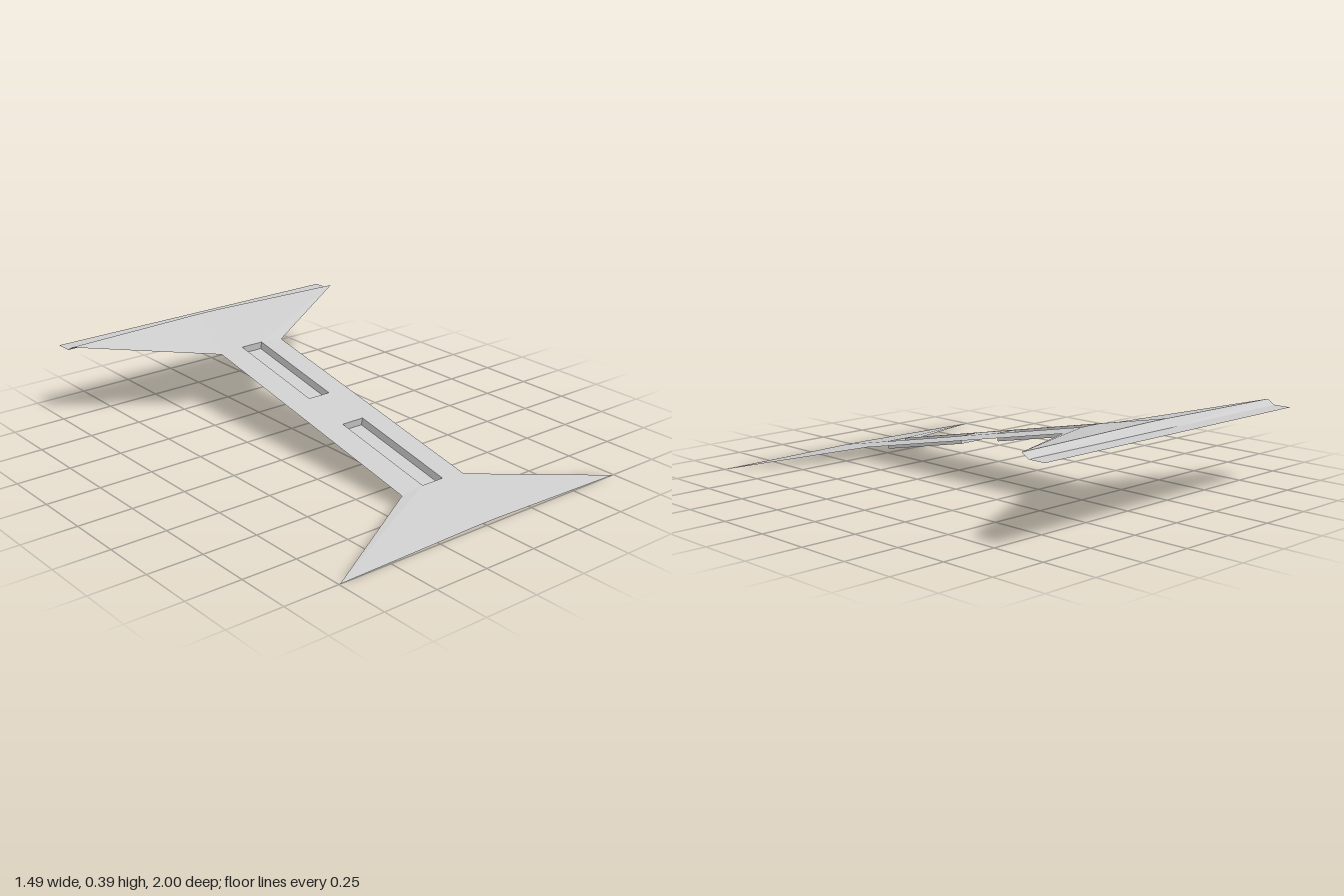
import * as THREE from 'three';

const grey = new THREE.MeshStandardMaterial({ color: 0xcccccc, side: THREE.DoubleSide });
grey.name = 'light grey';

// Mesh from quads, corners counterclockwise from the outside
function quadMesh(name, quads) {
  const pos = [];
  for (const [a, b, c, d] of quads) pos.push(...a, ...b, ...c, ...a, ...c, ...d);
  const g = new THREE.BufferGeometry();
  g.setAttribute('position', new THREE.Float32BufferAttribute(pos, 3));
  g.computeVertexNormals();
  const m = new THREE.Mesh(g, grey);
  m.name = name;
  return m;
}

const SLOT = 0.055;
const ridge = z => 0.01 + 0.2023 * (1 - z);

// Stations along the sloping plate: z at centre, z at edge, half width, slot up to next station
const stations = [
  { z: 0.995, ze: 1, w: 0.745 },
  { z: 0.685, ze: 0.69, w: 0.17, slot: true },
  { z: 0.18, ze: 0.18, w: 0.17 },
  { z: -0.05, ze: -0.05, w: 0.17, slot: true },
  { z: -0.545, ze: -0.545, w: 0.17 },
  { z: -0.893, ze: -0.885, w: 0.745 },
];

// Cross-section with a slightly raised centre strip
const section = s => [
  [-s.w, ridge(s.ze) - 0.01, s.ze],
  [-SLOT, ridge(s.z), s.z],
  [SLOT, ridge(s.z), s.z],
  [s.w, ridge(s.ze) - 0.01, s.ze],
];

export function createModel() {
  const model = new THREE.Group();
  model.name = 'slopedPlate';

  // Flared plate with two slot openings
  const plate = [];
  for (let i = 0; i < stations.length - 1; i++) {
    const a = section(stations[i]), b = section(stations[i + 1]);
    for (let k = 0; k < 3; k++) {
      if (k === 1 && stations[i].slot) continue;
      plate.push([a[k], a[k + 1], b[k + 1], b[k]]);
    }
  }
  model.add(quadMesh('flaredPlate', plate));

  // Sunken trays under the openings, square to the slope
  stations.forEach((s, i) => {
    if (!s.slot) return;
    const z0 = s.z, z1 = stations[i + 1].z;
    const top = [[-SLOT, z0], [SLOT, z0], [SLOT, z1], [-SLOT, z1]].map(([x, z]) => [x, ridge(z), z]);
    const low = top.map(([x, y, z]) => [x, y - 0.034, z - 0.007]);
    const quads = [low];
    for (let k = 0; k < 4; k++) {
      const n = (k + 1) % 4;
      quads.push([top[k], top[n], low[n], low[k]]);
    }
    model.add(quadMesh('recessedTray', quads));
  });

  // Step down and flat lip along the high edge
  const edge = section(stations[stations.length - 1]);
  const foot = edge.map(([x]) => [x, 0.36, -0.92]);
  const step = [];
  for (let k = 0; k < 3; k++) step.push([edge[k], edge[k + 1], foot[k + 1], foot[k]]);
  model.add(quadMesh('lipStep', step));
  const [l, r] = [foot[0], foot[3]];
  model.add(quadMesh('flatLip', [[l, r, [r[0], 0.36, -1], [l[0], 0.36, -1]]]));

  return model;
}
